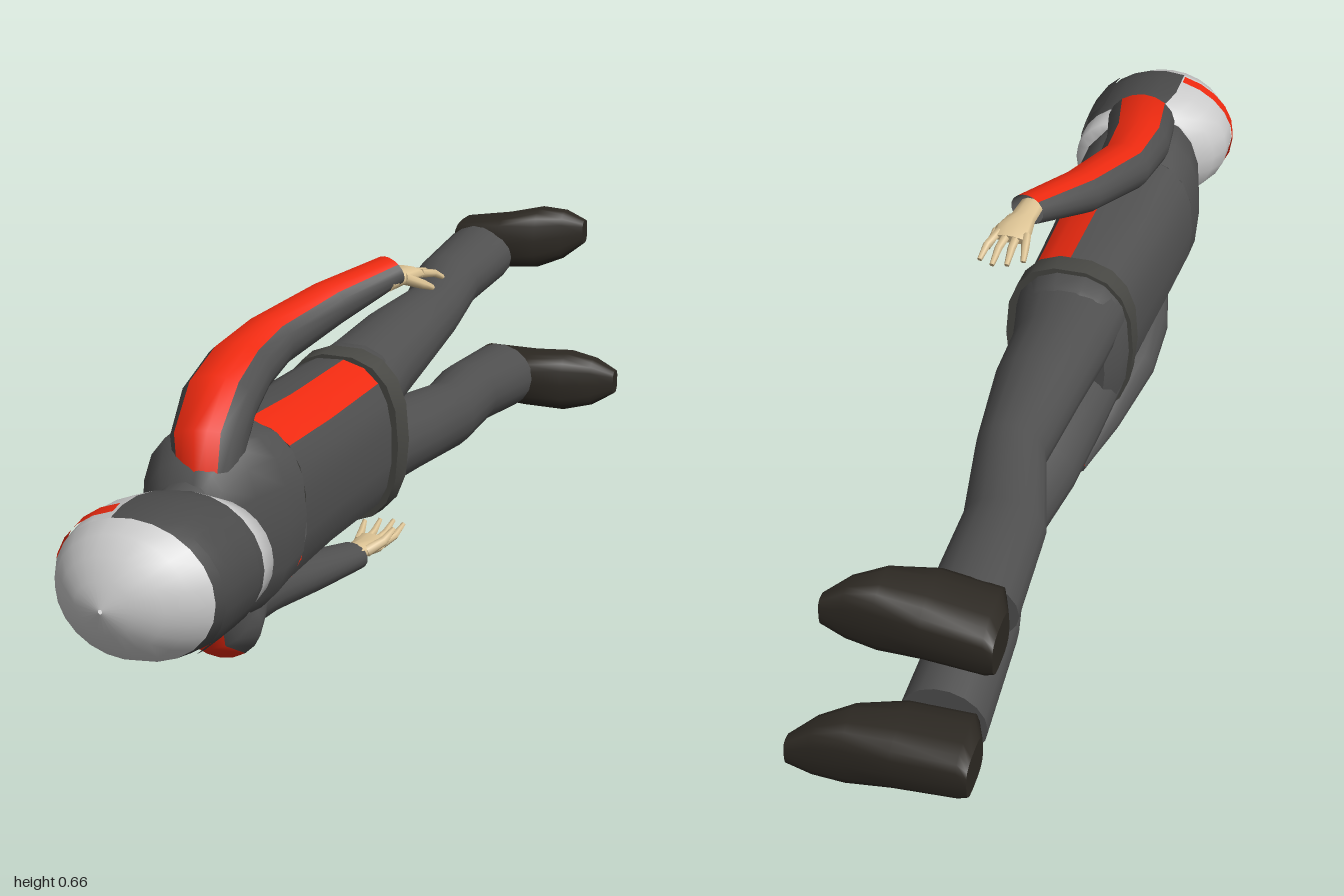
import * as THREE from 'three';

const mat = (color) => new THREE.MeshStandardMaterial({ color, side: THREE.DoubleSide });
const SUIT = mat(0x505050), RED = mat(0xee2a10), SKIN = mat(0xdcc394),
  SHOE = mat(0x2c2822), SHELL = mat(0xcccccc), VISOR = mat(0x4a4a4a), BELT = mat(0x484844);
const X = new THREE.Vector3(1, 0, 0), Z = new THREE.Vector3(0, 0, 1), DOWN = new THREE.Vector3(0, 0, -1);

// Skin through elliptical rings [x, y, z, ru, rv]; from/to pick a band of the ring in degrees.
function loft(rings, { from = 0, to = 360, axis = null, hint = X, side = 1, pow = 1, caps = false, step = 20 } = {}) {
  const n = Math.max(2, Math.ceil((to - from) / step)), full = to - from === 360;
  const cols = full ? n : n + 1, pos = [], idx = [];
  const at = (i) => new THREE.Vector3(rings[i][0], rings[i][1], rings[i][2]);
  const soft = (c) => Math.sign(c) * Math.abs(c) ** pow;
  const tri = (a, b, c) => (side > 0 ? idx.push(a, b, c) : idx.push(a, c, b));
  rings.forEach((r, i) => {
    const t = axis ? axis.clone() : at(Math.min(i + 1, rings.length - 1)).sub(at(Math.max(i - 1, 0))).normalize();
    const u = hint.clone().addScaledVector(t, -hint.dot(t)).normalize();
    const v = u.clone().cross(t).multiplyScalar(side);
    for (let j = 0; j < cols; j++) {
      const a = THREE.MathUtils.degToRad(from + (to - from) * j / n);
      const p = at(i).addScaledVector(u, r[3] * soft(Math.cos(a))).addScaledVector(v, r[4] * soft(Math.sin(a)));
      pos.push(p.x, p.y, p.z);
    }
  });
  for (let i = 0; i < rings.length - 1; i++) for (let j = 0; j < n; j++) {
    const a = i * cols + j, b = i * cols + (j + 1) % cols, c = a + cols, d = b + cols;
    tri(a, c, b); tri(b, c, d);
  }
  if (caps) for (const end of [0, rings.length - 1]) {
    const base = pos.length / 3, first = end * cols * 3;
    pos.push(...pos.slice(first, first + cols * 3), ...rings[end].slice(0, 3));
    for (let j = 0; j < n; j++) {
      const a = base + j, b = base + (j + 1) % cols, m = base + cols;
      if (end) tri(a, m, b); else tri(a, b, m);
    }
  }
  const g = new THREE.BufferGeometry();
  g.setAttribute('position', new THREE.Float32BufferAttribute(pos, 3));
  g.setIndex(idx);
  g.computeVertexNormals();
  return g;
}

export function createModel() {
  const model = new THREE.Group();
  const add = (name, geometry, material, parent = model) => {
    const m = new THREE.Mesh(geometry, material);
    m.name = name;
    parent.add(m);
  };
  const straight = { axis: DOWN };

  // Jacket, with a red panel along each side of the waist
  const chest = [[-.055, .312, .695, .06, .07], [-.06, .312, .67, .085, .14], [-.06, .312, .62, .115, .18],
    [-.055, .312, .55, .135, .18], [-.055, .312, .48, .135, .165]];
  const waist = [chest[4], [-.05, .312, .3, .128, .158], [-.04, .312, .07, .118, .163]];
  const cut = { axis: DOWN, pow: .8 };
  add('chest', loft(chest, { ...cut, caps: true }), SUIT);
  for (const [from, to, material, name] of [[-45, 45, SUIT, 'jacketFront'], [45, 85, RED, 'leftSidePanel'],
    [85, 275, SUIT, 'jacketBack'], [275, 315, RED, 'rightSidePanel']])
    add(name, loft(waist, { ...cut, from, to }), material);
  add('belt', loft([[-.037, .312, .085, .128, .17], [-.037, .312, .035, .13, .174]], { ...cut, caps: true }), BELT);
  add('hips', loft([[-.04, .312, .045, .12, .165], [-.045, .312, -.01, .108, .166], [-.05, .312, -.05, .08, .14]],
    { ...cut, caps: true }), SUIT);

  // Neck and open collar
  add('neck', loft([[-.03, .32, .75, .06, .07], [-.03, .32, .64, .065, .08]], straight), SKIN);
  add('collar', loft([[-.055, .315, .725, .075, .095], [-.055, .315, .67, .085, .11]],
    { ...straight, from: 50, to: 310 }), SUIT);

  // Trousers
  const legs = {
    leftLeg: [[-.04, .39, .04, .11, .08], [-.05, .395, -.1, .092, .083], [-.05, .415, -.25, .085, .074],
      [-.055, .425, -.45, .066, .062], [-.1, .432, -.65, .075, .06], [-.108, .443, -.87, .08, .066]],
    rightLeg: [[-.04, .235, .04, .11, .08], [-.05, .228, -.1, .09, .083], [-.04, .214, -.25, .085, .077],
      [-.02, .196, -.45, .066, .074], [-.05, .18, -.65, .074, .07], [-.05, .158, -.87, .08, .076]],
  };
  for (const name in legs) add(name, loft(legs[name], { ...straight, caps: true }), SUIT);

  // Shoes run from heel to toe, soles flat at the far end
  const shoe = (name, heel, length, y, toeY) => {
    const rows = [[0, .1, .04], [.06, .145, .055], [.42, .145, .06], [.68, .11, .068], [.86, .072, .055], [1, .035, .027]];
    add(name, loft(rows.map(([f, h, w]) => [heel + f * length, y + (toeY - y) * f, -1 + h / 2, h / 2, w]),
      { hint: Z, axis: X, pow: .65, caps: true }), SHOE);
  };
  shoe('leftShoe', -.18, .29, .455, .492);
  shoe('rightShoe', -.13, .325, .15, .14);

  // Sleeves with a red stripe over the shoulder and down the outside
  const sleeve = (name, rings, side) => {
    add(name, loft(rings, { side, from: 130, to: 410 }), SUIT);
    add(name + 'Stripe', loft(rings, { side, from: 50, to: 130 }), RED);
  };
  const shoulder = [[-.04, .39, .63, .055, .05], [-.045, .475, .61, .068, .066], [-.06, .522, .54, .07, .06]];
  const left = [...shoulder, [-.08, .545, .42, .065, .055], [-.078, .565, .3, .056, .05],
    [-.03, .6, .14, .048, .043], [.038, .637, 0, .04, .028]];
  const right = [...shoulder, [-.095, .53, .42, .062, .052], [-.1, .55, .3, .056, .048],
    [-.075, .573, .14, .048, .04], [-.045, .588, 0, .04, .028]].map(([x, y, ...r]) => [x, .62 - y, ...r]);
  sleeve('leftSleeve', left, 1);
  sleeve('rightSleeve', right, -1);

  // Hands: flat palm, four curled fingers and a thumb on the forward side
  const hand = (name, x, y, side) => {
    const g = new THREE.Group();
    g.name = name;
    g.position.set(x, y, 0);
    model.add(g);
    add('palm', loft([[-.005, 0, .04, .024, .017], [0, 0, -.01, .026, .016], [.005, .002 * side, -.05, .036, .014],
      [.006, -.004 * side, -.075, .034, .01]], { caps: true, step: 36 }), SKIN, g);
    for (let i = 0; i < 4; i++) {
      const fx = -.022 + i * .018, len = [.042, .06, .066, .055][i], lean = (i - 1) * .006;
      add('finger', loft([[fx, 0, -.06, .009, .009], [fx + lean, -.007 * side, -.07 - len * .5, .008, .008],
        [fx + lean * 1.5, -.022 * side, -.073 - len, .005, .005]], { caps: true, step: 60 }), SKIN, g);
    }
    add('thumb', loft([[.018, 0, -.01, .012, .012], [.042, -.015 * side, -.04, .01, .01],
      [.05, -.03 * side, -.075, .006, .006]], { caps: true, step: 60 }), SKIN, g);
  };
  hand('leftHand', .045, .62, 1);
  hand('rightHand', -.035, .042, -1);

  // Helmet: round crown, wrap-around visor, pale rim and chin
  const crown = [[-.045, .311, 1, .004, .004], [-.045, .311, .988, .055, .047], [-.043, .311, .965, .095, .083],
    [-.041, .311, .935, .126, .11], [-.038, .311, .9, .15, .126]];
  const face = [crown[4], [-.037, .311, .86, .16, .133], [-.036, .311, .81, .16, .133], [-.027, .311, .77, .149, .13],
    [-.012, .311, .74, .134, .122]];
  const chin = [face[4], [.017, .311, .7, .103, .1], [.01, .311, .705, .08, .075]];
  const fine = { axis: DOWN, step: 15 };
  add('helmetCrown', loft(crown, fine), SHELL);
  add('helmetBack', loft(face, { ...fine, from: 105, to: 255 }), SHELL);
  add('visor', loft(face, { ...fine, from: -105, to: 105 }), VISOR);
  add('helmetChin', loft(chin, fine), SHELL);
  add('visorWindow', loft([[-.036, .311, .885, .159, .134], [-.034, .311, .86, .161, .136], [-.033, .311, .81, .161, .136],
    [-.023, .311, .765, .15, .132]], { ...fine, from: -50, to: 50 }), VISOR);
  add('helmetStripe', loft([[-.038, .311, .885, .158, .132], [-.038, .311, .855, .163, .136]],
    { ...fine, from: 106, to: 254 }), RED);

  return model;
}
